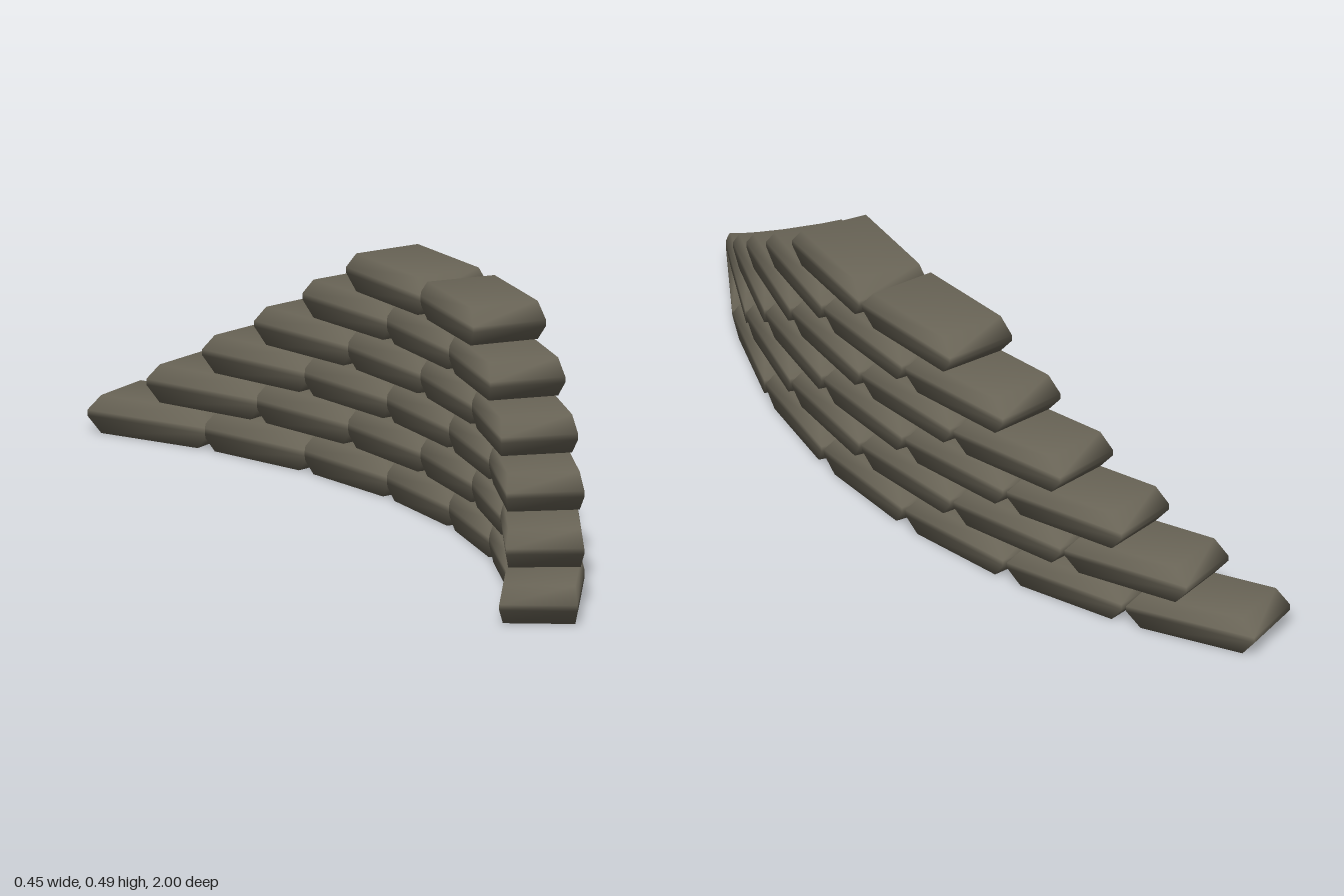
import * as THREE from 'three';
import { mergeVertices } from 'three/addons/utils/BufferGeometryUtils.js';

const WIDTH = 0.16, HEIGHT = 0.08, LENGTH = 0.294;
const RADIUS = 1.665, CENTRE_X = -1.525, STEP = THREE.MathUtils.degToRad(10);
const PITCH = 0.0823, ROWS = 6, BASE_COUNT = 7;

// One filled bag: a box with a full waist, pinched in towards top and bottom
function bagGeometry() {
  let geometry = new THREE.BoxGeometry(WIDTH, HEIGHT, LENGTH, 1, 3, 1);
  const p = geometry.attributes.position;
  for (let i = 0; i < p.count; i++) {
    const y = p.getY(i);
    if (Math.abs(y) > HEIGHT * 0.4) {
      p.setX(i, p.getX(i) - Math.sign(p.getX(i)) * 0.006);
      p.setZ(i, p.getZ(i) - Math.sign(p.getZ(i)) * 0.03);
    } else {
      p.setY(i, Math.sign(y) * 0.006);
    }
  }
  // weld the faces so the cloth shades smoothly
  geometry.deleteAttribute('normal');
  geometry.deleteAttribute('uv');
  geometry = mergeVertices(geometry);
  geometry.computeVertexNormals();
  return geometry;
}

export function createModel() {
  const wall = new THREE.Group();
  wall.name = 'sandbagWall';
  const burlap = new THREE.MeshStandardMaterial({ color: 0x6b6658 });
  burlap.name = 'burlap';
  const geometry = bagGeometry();

  // Curved courses, each one bag shorter and half a bag offset
  for (let row = 0; row < ROWS; row++) {
    const course = new THREE.Group();
    course.name = `course${row + 1}`;
    const count = BASE_COUNT - row;
    for (let i = 0; i < count; i++) {
      const angle = (i - (count - 1) / 2) * STEP;
      const bag = new THREE.Mesh(geometry, burlap);
      bag.name = 'sandbag';
      bag.position.set(
        CENTRE_X + RADIUS * Math.cos(angle),
        HEIGHT / 2 + row * PITCH,
        RADIUS * Math.sin(angle)
      );
      bag.rotation.y = -angle;
      course.add(bag);
    }
    wall.add(course);
  }
  return wall;
}
